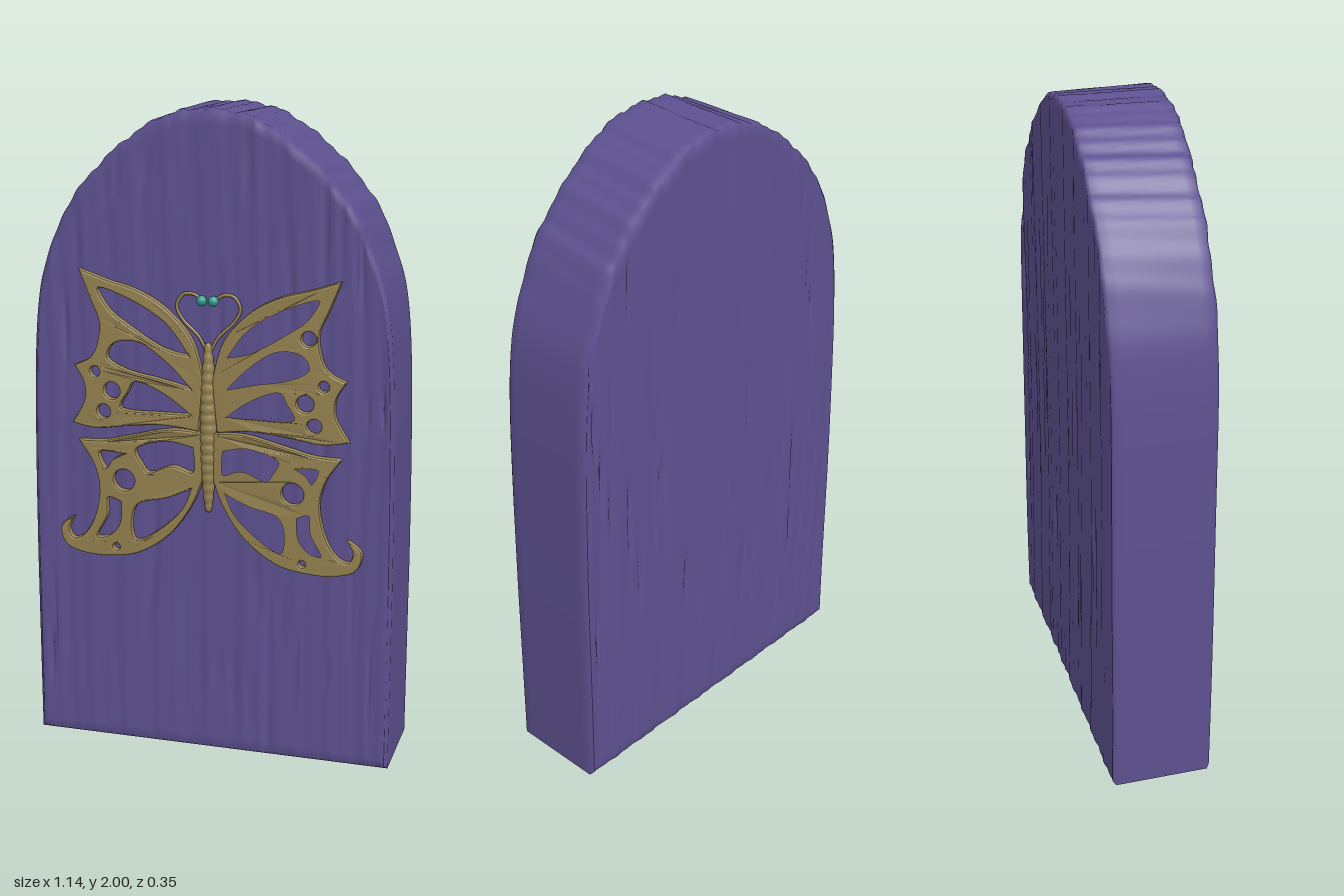
import * as THREE from 'three';
import { mergeVertices } from 'three/addons/utils/BufferGeometryUtils.js';

const BACK = -0.175, FRONT = 0.14;
const wood = new THREE.MeshStandardMaterial({ color: 0x5d5190 });
const gold = new THREE.MeshStandardMaterial({ color: 0x958250 });
const teal = new THREE.MeshStandardMaterial({ color: 0x2f9a8c });
const V2 = (p) => new THREE.Vector2(p[0], p[1]);

function randomizer(seed) {
  return () => (seed = (seed * 16807) % 2147483647) / 2147483647;
}

function addMesh(parent, name, geometry, material) {
  const mesh = new THREE.Mesh(geometry, material);
  mesh.name = name;
  parent.add(mesh);
  return mesh;
}

// Arched slab: a fine box whose columns are stretched up to the arch, then grained
function doorGeometry() {
  const half = [[0.568, 0.6], [0.565, 0.9], [0.558, 1.2], [0.543, 1.4], [0.515, 1.53], [0.45, 1.69],
    [0.36, 1.81], [0.25, 1.91], [0.13, 1.98]];
  const arch = new THREE.SplineCurve([
    ...half.map(([x, y]) => V2([-x, y])), V2([0, 2]), ...half.slice().reverse().map(V2)]);
  arch.arcLengthDivisions = 1000;
  const cols = 220, layers = 8;
  const top = arch.getSpacedPoints(cols);

  // Long narrow cracks, separate for the front and the back
  const rnd = randomizer(77);
  const cracks = Array.from({ length: 90 }, () => ({
    x: (rnd() * 2 - 1) * 0.54, y: rnd() * 1.9, len: 0.06 + rnd() * 0.18,
    depth: 0.004 + rnd() * 0.007, side: rnd() < 0.5 ? 1 : -1, lean: (rnd() - 0.5) * 0.06,
  }));
  const grain = (x, y, side) => {
    const w = x + 0.012 * Math.sin(y * 3 + side);
    let d = 0.0016 * Math.sin(w * 47 + side) + 0.0012 * Math.sin(w * 113 + y * 2) - 0.002;
    for (const c of cracks) {
      if (c.side !== side) continue;
      const dx = (x - c.x - c.lean * (y - c.y)) / 0.006, dy = (y - c.y) / c.len;
      if (Math.abs(dx) < 3 && Math.abs(dy) < 1) d -= c.depth * Math.exp(-dx * dx) * (1 - dy * dy);
    }
    return d;
  };

  const geo = new THREE.BoxGeometry(1, 1, 1, cols, 64, layers);
  const pos = geo.attributes.position;
  const depthSteps = [0, 0.012, 0.04, 0.1, 0.158, 0.215, 0.275, 0.303, 0.315];
  for (let i = 0; i < pos.count; i++) {
    const v = pos.getY(i) + 0.5;
    const layer = Math.round((pos.getZ(i) + 0.5) * layers);
    const p = top[Math.round((pos.getX(i) + 0.5) * cols)];
    const atFace = layer === 0 || layer === layers;
    let z = BACK + depthSteps[layer];
    // Weathered notches running across the arch, fading toward the sides
    const fade = THREE.MathUtils.smoothstep(p.y, 1.45, 1.65) * v;
    const rough = fade * (0.003 * Math.sin(p.x * 61 + z * 5) + 0.003 * Math.sin(p.x * 137 + z * 9) - 0.004);
    let x = p.x, y = p.y * v + rough;
    if (atFace) {
      const side = layer ? 1 : -1;
      z += side * grain(x, y, side);
      x *= 0.982;
      y = 0.01 + y * 0.989;
    }
    pos.setXYZ(i, x, y, z);
  }
  geo.deleteAttribute('uv');
  geo.deleteAttribute('normal');
  const smooth = mergeVertices(geo, 1e-5);
  smooth.computeVertexNormals();
  return smooth;
}

// Wing outlines are smooth runs that meet at pointed corners
const upperWing = {
  runs: [
    [[0.015, 1.2], [0.05, 1.32], [0.13, 1.41], [0.22, 1.46], [0.31, 1.485], [0.4, 1.515]],
    [[0.4, 1.515], [0.365, 1.43], [0.337, 1.36], [0.345, 1.29], [0.37, 1.245], [0.42, 1.22]],
    [[0.42, 1.22], [0.39, 1.17], [0.39, 1.11], [0.43, 1.04]],
    [[0.43, 1.04], [0.35, 1.03], [0.25, 1.045], [0.13, 1.055], [0.015, 1.04]],
  ],
  cells: [
    [[0.055, 1.27], [0.12, 1.36], [0.22, 1.425], [0.34, 1.465], [0.31, 1.4], [0.25, 1.355], [0.14, 1.29]],
    [[0.05, 1.17], [0.12, 1.245], [0.21, 1.305], [0.29, 1.3], [0.315, 1.25], [0.25, 1.215], [0.15, 1.195]],
    [[0.05, 1.09], [0.13, 1.15], [0.22, 1.185], [0.25, 1.15], [0.27, 1.095], [0.15, 1.09]],
  ],
  rounds: [[0.308, 1.345, 0.024], [0.3, 1.15, 0.028], [0.328, 1.083, 0.024], [0.355, 1.205, 0.018]],
};
const lowerWing = {
  runs: [
    [[0.015, 1.035], [0.12, 1.04], [0.25, 1.01], [0.33, 0.99], [0.41, 0.985]],
    [[0.41, 0.985], [0.365, 0.92], [0.345, 0.84], [0.36, 0.75], [0.395, 0.685], [0.435, 0.665],
      [0.453, 0.695], [0.435, 0.735]],
    [[0.435, 0.735], [0.475, 0.7], [0.46, 0.645], [0.4, 0.622], [0.32, 0.62], [0.22, 0.64],
      [0.12, 0.71], [0.05, 0.81], [0.015, 0.9]],
  ],
  cells: [
    [[0.045, 0.99], [0.13, 1.005], [0.225, 0.975], [0.205, 0.92], [0.18, 0.9], [0.11, 0.925], [0.045, 0.91]],
    [[0.05, 0.86], [0.13, 0.825], [0.22, 0.8], [0.245, 0.74], [0.23, 0.675], [0.15, 0.72], [0.08, 0.79]],
    [[0.255, 0.955], [0.345, 0.955], [0.325, 0.9], [0.3, 0.93]],
    [[0.275, 0.8], [0.32, 0.81], [0.325, 0.75], [0.36, 0.68], [0.315, 0.685], [0.28, 0.73]],
  ],
  rounds: [[0.265, 0.87, 0.036], [0.295, 0.65, 0.013]],
};

function wingGeometry({ runs, cells, rounds }, side) {
  const flip = (p) => V2([p[0] * side, p[1]]);
  const outline = runs.flatMap((run) =>
    new THREE.SplineCurve(run.map(flip)).getPoints(run.length * 4).slice(0, -1));
  const shape = new THREE.Shape(outline);
  for (const cell of cells) {
    // The first point of a cell stays sharp
    const loop = new THREE.SplineCurve([...cell, cell[0]].map(flip));
    shape.holes.push(new THREE.Path(loop.getPoints(cell.length * 5).slice(0, -1)));
  }
  for (const [x, y, r] of rounds) {
    const circle = new THREE.Path().absarc(x * side, y, r, 0, Math.PI * 2);
    shape.holes.push(new THREE.Path(circle.getPoints(12).slice(0, -1)));
  }
  const geo = new THREE.ExtrudeGeometry(shape, {
    depth: 0.014, bevelEnabled: true, bevelThickness: 0.007, bevelSize: 0.006, bevelOffset: -0.004, bevelSegments: 2,
  });
  // Bow the wing gently away from the door
  const pos = geo.attributes.position;
  for (let i = 0; i < pos.count; i++) {
    const bow = Math.sin(Math.PI * Math.min(Math.abs(pos.getX(i)) / 0.42, 1));
    const rise = Math.max(0, 1 - ((pos.getY(i) - 1.07) / 0.47) ** 2);
    pos.setZ(i, FRONT - 0.003 + pos.getZ(i) + 0.011 * bow * rise);
  }
  geo.computeVertexNormals();
  return geo;
}

// Ringed, tapering body
function bodyGeometry() {
  const points = [];
  const rings = 17, length = 0.53;
  for (let i = 0; i <= rings * 6; i++) {
    const t = i / (rings * 6);
    const taper = 0.026 * Math.pow(Math.sin(Math.PI * (0.02 + 0.96 * t)), 0.45);
    const ridge = 0.86 + 0.14 * Math.abs(Math.sin(Math.PI * rings * t));
    points.push(new THREE.Vector2(i % (rings * 6) ? taper * ridge : 0, t * length));
  }
  return new THREE.LatheGeometry(points, 20);
}

export function createModel() {
  const model = new THREE.Group();
  model.name = 'butterflyDoor';
  addMesh(model, 'door', doorGeometry(), wood);

  const butterfly = new THREE.Group();
  butterfly.name = 'butterfly';
  model.add(butterfly);
  addMesh(butterfly, 'body', bodyGeometry(), gold).position.set(0, 0.785, 0.147);

  for (const side of [1, -1]) {
    const label = side > 0 ? 'left' : 'right';
    addMesh(butterfly, label + 'UpperWing', wingGeometry(upperWing, side), gold);
    addMesh(butterfly, label + 'LowerWing', wingGeometry(lowerWing, side), gold);

    // Antenna curling in to the eye bead
    const path = new THREE.CatmullRomCurve3(
      [[0.008, 1.29], [0.03, 1.33], [0.08, 1.38], [0.098, 1.42], [0.077, 1.455], [0.045, 1.457], [0.025, 1.445]]
        .map(([x, y]) => new THREE.Vector3(x * side, y, FRONT + 0.003)));
    addMesh(butterfly, label + 'Antenna', new THREE.TubeGeometry(path, 36, 0.005, 8), gold);

    const eye = addMesh(butterfly, label + 'Eye', new THREE.SphereGeometry(0.016, 20, 14), teal);
    eye.position.set(0.018 * side, 1.44, 0.154);
  }
  return model;
}
